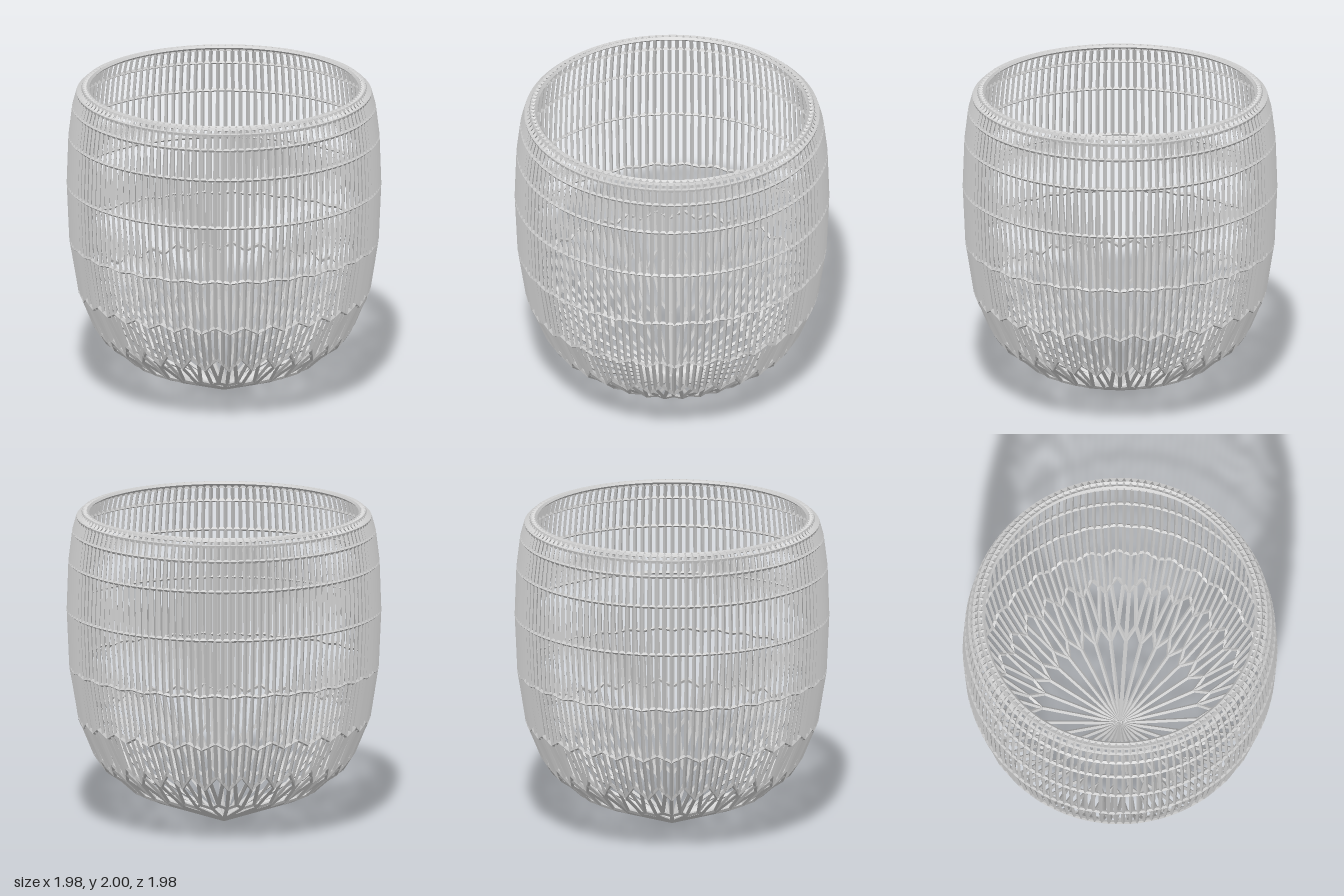
import * as THREE from 'three';
import { mergeGeometries } from 'three/addons/utils/BufferGeometryUtils.js';

const SECTORS = 32;      // spokes meeting at the bottom point
const COUNT = SECTORS * 4; // upright rods in the wall
const T = 0.0125;        // half thickness of a strut

// Each ring: radius and height on a spoke, radius and height midway between
// spokes, and the tilt of the surface normal above the horizontal.
const RINGS = [
  [0.49, 0.185, 0.58, 0.225, -1.1],
  [0.75, 0.36, 0.815, 0.455, -0.8],
  [0.897, 0.645, 0.912, 0.69, -0.35],
  [0.96, 0.995, 0.962, 1.01, -0.12],
  [0.977, 1.365, 0.977, 1.365, 0],
  [0.966, 1.675, 0.966, 1.675, 0.12],
  [0.943, 1.865, 0.943, 1.865, 0.25],
  [0.918, 1.957, 0.918, 1.957, 0.6],
  [0.888, 1.986, 0.888, 1.986, 1.2],
  [0.86, 1.988, 0.86, 1.988, 1.57],
];

// Node j of a ring; j = 0, 4, 8... lie on spokes, j = 2, 6... midway
function node(ring, j) {
  const [r0, y0, r1, y1, tilt] = RINGS[ring];
  const k = 1 - Math.abs((((j % 4) + 4) % 4) - 2) / 2;
  const a = ((j + 2) / COUNT) * Math.PI * 2;
  const r = r0 + (r1 - r0) * k;
  const s = Math.sin(a), c = Math.cos(a);
  return {
    p: new THREE.Vector3(r * s, y0 + (y1 - y0) * k, r * c),
    n: new THREE.Vector3(s * Math.cos(tilt), Math.sin(tilt), c * Math.cos(tilt)),
  };
}

// Diamond-section strut between two nodes, one ridge along the normal
function strut(a, b) {
  const dir = b.p.clone().sub(a.p);
  const len = dir.length();
  dir.normalize();
  const side = dir.clone().cross(a.n.clone().add(b.n)).normalize();
  const out = side.clone().cross(dir);
  const mid = a.p.clone().add(b.p).multiplyScalar(0.5);
  const g = new THREE.CylinderGeometry(T, T, len, 4, 1, true);
  return g.applyMatrix4(new THREE.Matrix4().makeBasis(side, dir, out).setPosition(mid)).toNonIndexed();
}

// Small faceted knot that closes a joint
function knot(a) {
  return new THREE.OctahedronGeometry(T).rotateY(Math.atan2(a.p.x, a.p.z))
    .translate(a.p.x, a.p.y, a.p.z);
}

export function createModel() {
  const group = new THREE.Group();
  const material = new THREE.MeshStandardMaterial({ color: 0xcccccc, flatShading: true });
  const add = (name, parts) => {
    const mesh = new THREE.Mesh(mergeGeometries(parts), material);
    mesh.name = name;
    group.add(mesh);
  };

  // Spokes from the bottom point, with the first zigzag and its forks
  const tip = { p: new THREE.Vector3(0, 0.013, 0), n: new THREE.Vector3(0, -1, 0) };
  const spokes = [knot(tip)], forks = [];
  for (let j = 0; j < COUNT; j += 4) {
    const m = node(0, j), k = node(0, j + 2);
    spokes.push(strut(tip, m), strut(m, node(1, j)), knot(m));
    forks.push(
      strut(m, k), strut(k, node(0, j + 4)), knot(k),
      strut(k, node(1, j + 1)), strut(k, node(1, j + 3)),
    );
  }
  add('bottomSpokes', spokes);
  add('bottomForks', forks);

  // Hoops, zigzag near the bottom and level higher up
  for (let i = 1; i < RINGS.length; i++) {
    const hoop = [];
    for (let j = 0; j < COUNT; j++) {
      hoop.push(strut(node(i, j), node(i, j + 1)), knot(node(i, j)));
    }
    add(i < 4 ? 'zigzagHoop' + i : i < 7 ? 'wallHoop' + (i - 3) : 'rimHoop' + (i - 6), hoop);
  }

  // Upright rods running from the lowest hoop over the rim
  const rods = [];
  for (let j = 0; j < COUNT; j++) {
    for (let i = 1; i < RINGS.length - 1; i++) rods.push(strut(node(i, j), node(i + 1, j)));
  }
  add('uprightRods', rods);

  return group;
}
